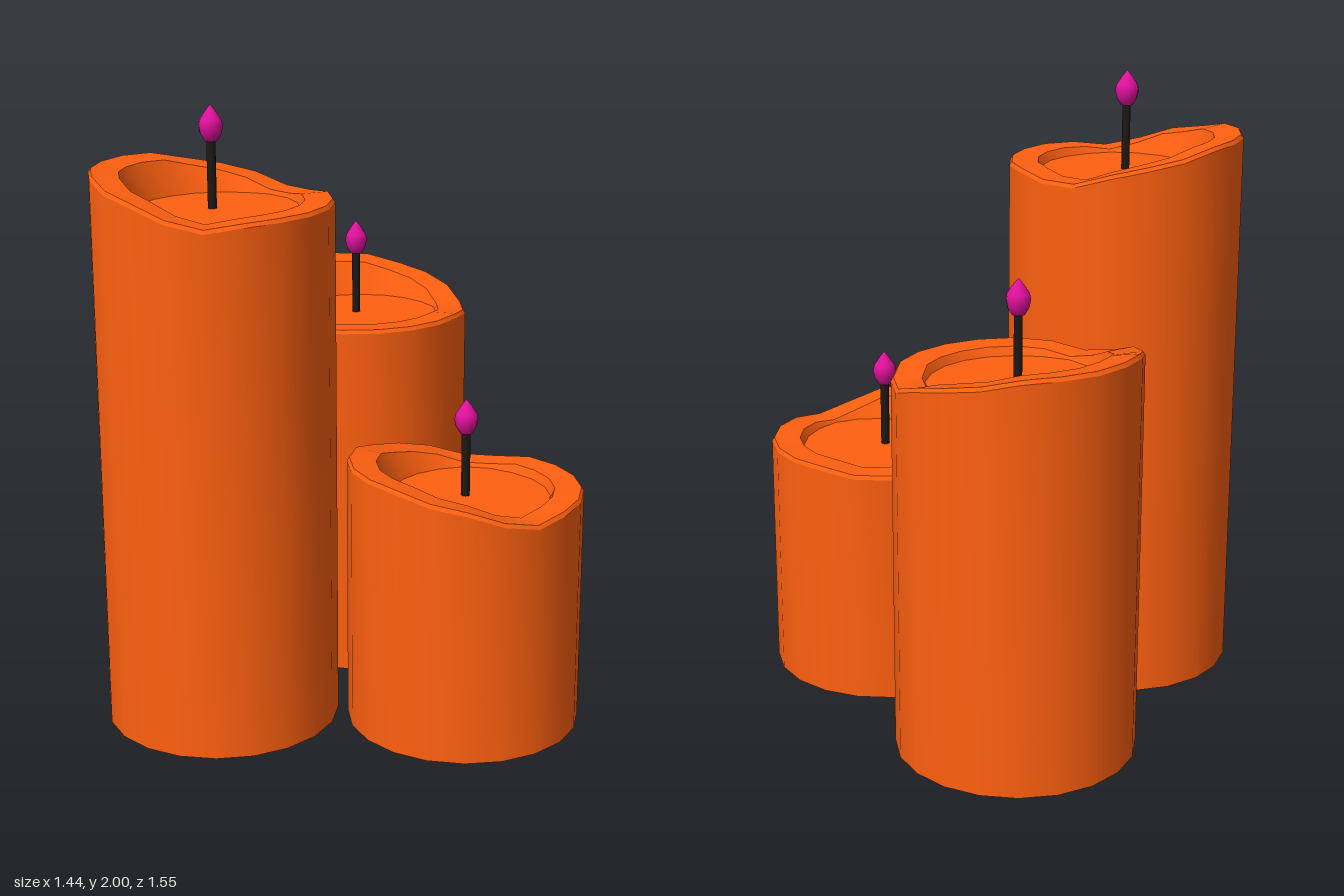
import * as THREE from 'three';
import { toCreasedNormals } from 'three/addons/utils/BufferGeometryUtils.js';

const SIDES = 20;
const RADIUS = 0.378;

// height of the melted rim above the wax pool, once around the candle
const RIM = [0.03, 0.03, 0.025, 0.01, 0.035, 0.075, 0.095, 0.12, 0.125, 0.125,
  0.125, 0.12, 0.095, 0.075, 0.05, 0.015, 0.015, 0.03, 0.03, 0.03];

const wax = new THREE.MeshStandardMaterial({ color: 0xff6010 });
const wickMaterial = new THREE.MeshStandardMaterial({ color: 0x1e1814 });
const flameMaterial = new THREE.MeshStandardMaterial({ color: 0xe0109c });

// lathe whose upper rings follow the uneven rim
function waxGeometry(pool) {
  const rings = 7;
  const blank = Array.from({ length: rings }, (_, j) => new THREE.Vector2(1, j));
  const geometry = new THREE.LatheGeometry(blank, SIDES);
  const position = geometry.attributes.position;
  for (let i = 0; i <= SIDES; i++) {
    const k = (SIDES - i) % SIDES;
    const angle = THREE.MathUtils.degToRad(3 + k * 360 / SIDES);
    const rim = RIM[k];
    const section = [
      [0, 0],
      [RADIUS, 0],
      [RADIUS, pool + rim - 0.012],          // outer wall
      [RADIUS - 0.008, pool + rim],          // worn edge
      [0.285, pool + rim * 0.9],             // rim
      [0.282 - rim * 0.36, pool],            // inner wall
      [0, pool],                             // wax pool
    ];
    section.forEach(([r, y], j) => {
      position.setXYZ(i * rings + j, r * Math.cos(angle), y, r * Math.sin(angle));
    });
  }
  // enlarged while creasing so that close rings stay distinct
  geometry.scale(20, 20, 20);
  const creased = toCreasedNormals(geometry, Math.PI / 6);
  creased.scale(0.05, 0.05, 0.05);
  return creased;
}

const wickGeometry = new THREE.CylinderGeometry(0.014, 0.014, 0.22, 8);

const flameGeometry = new THREE.LatheGeometry([
  [0, 0], [0.02, 0.003], [0.033, 0.025], [0.038, 0.05], [0.034, 0.068], [0.018, 0.092], [0, 0.115],
].map(([r, y]) => new THREE.Vector2(r, y)), 12);

function addMesh(parent, name, geometry, material, y) {
  const mesh = new THREE.Mesh(geometry, material);
  mesh.name = name;
  mesh.position.y = y;
  parent.add(mesh);
  return mesh;
}

// one candle: pool height, position, and turn of the rim in degrees
function makeCandle(name, pool, x, z, turn) {
  const candle = new THREE.Group();
  candle.name = name;
  candle.position.set(x, 0, z);
  candle.rotation.y = -THREE.MathUtils.degToRad(turn);
  addMesh(candle, 'waxBody', waxGeometry(pool), wax, 0);
  addMesh(candle, 'wick', wickGeometry, wickMaterial, pool + 0.105);
  addMesh(candle, 'flame', flameGeometry, flameMaterial, pool + 0.205);
  return candle;
}

export function createModel() {
  const group = new THREE.Group();
  group.name = 'candles';
  group.add(
    makeCandle('tallCandle', 1.68, -0.343, 0.398, 0),
    makeCandle('mediumCandle', 1.18, -0.343, -0.403, 42),
    makeCandle('shortCandle', 0.757, 0.338, 0, -34.4),
  );
  return group;
}
